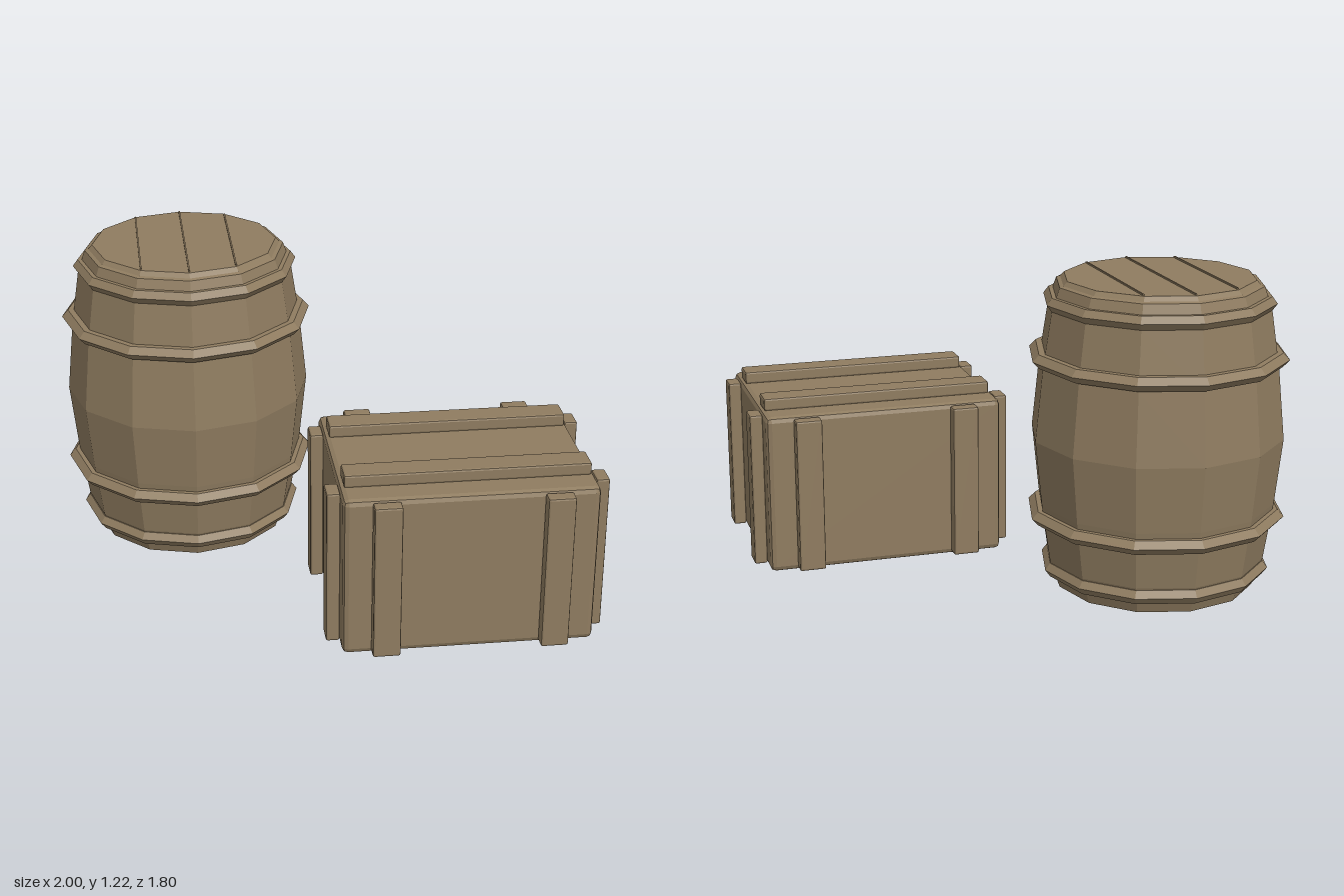
import * as THREE from 'three';
import { RoundedBoxGeometry } from 'three/addons/geometries/RoundedBoxGeometry.js';

const SIDES = 12;

export function createModel() {
  const wood = new THREE.MeshStandardMaterial({ color: 0x8f7c60, flatShading: true });
  wood.name = 'wood';

  const add = (parent, name, geometry, x = 0, y = 0, z = 0) => {
    const mesh = new THREE.Mesh(geometry, wood);
    mesh.name = name;
    mesh.position.set(x, y, z);
    parent.add(mesh);
    return mesh;
  };
  const lathe = (points) =>
    new THREE.LatheGeometry(points.map(([r, y]) => new THREE.Vector2(r, y)), SIDES);
  // box with a single flat chamfer
  const chamferBox = (w, h, d, c) => new RoundedBoxGeometry(w, h, d, 1, c);

  const model = new THREE.Group();
  model.name = 'barrelAndCrate';

  // Barrel
  const barrel = new THREE.Group();
  barrel.name = 'barrel';
  barrel.position.set(-0.5, 0, -0.4);
  model.add(barrel);

  add(barrel, 'barrelBody', lathe([
    [0, 0], [0.39, 0], [0.43, 0.11], [0.465, 0.34], [0.493, 0.6],
    [0.465, 0.88], [0.43, 1.11], [0.4, 1.195], [0.385, 1.2], [0.37, 1.217], [0, 1.217],
  ]));

  // Hoops: middle height, outer radius, radius at the upper and lower edge
  for (const [y, outer, edge] of [
    [0.075, 0.45, 0.43], [0.29, 0.505, 0.48], [0.915, 0.505, 0.48], [1.13, 0.45, 0.43],
  ]) {
    add(barrel, 'hoop', lathe([
      [edge - 0.05, -0.027], [edge, -0.027], [outer, 0], [edge, 0.027], [edge - 0.05, 0.027],
    ]), 0, y, 0);
  }

  // Seams between the lid planks
  for (const x of [-0.185, 0, 0.185]) {
    const length = 2 * Math.sqrt(0.36 ** 2 - x * x);
    add(barrel, 'lidSeam', new THREE.BoxGeometry(0.006, 0.008, length), x, 1.219, 0);
  }

  // Crate
  const crate = new THREE.Group();
  crate.name = 'crate';
  crate.position.set(0.4625, 0, 0.46);
  model.add(crate);

  add(crate, 'crateBox', chamferBox(0.955, 0.64, 0.76, 0.022), 0, 0.32, 0);

  for (const a of [-1, 1]) {
    for (const b of [-1, 1]) {
      // upright battens on the front and back, then on the two ends
      add(crate, 'faceBatten', chamferBox(0.105, 0.62, 0.055, 0.008), a * 0.318, 0.322, b * 0.406);
      add(crate, 'endBatten', chamferBox(0.052, 0.62, 0.09, 0.008), a * 0.503, 0.322, b * 0.252);
    }
    // battens across the lid
    add(crate, 'lidBatten', chamferBox(0.925, 0.05, 0.105, 0.008), 0.002, 0.663, a * 0.215);
  }

  return model;
}
